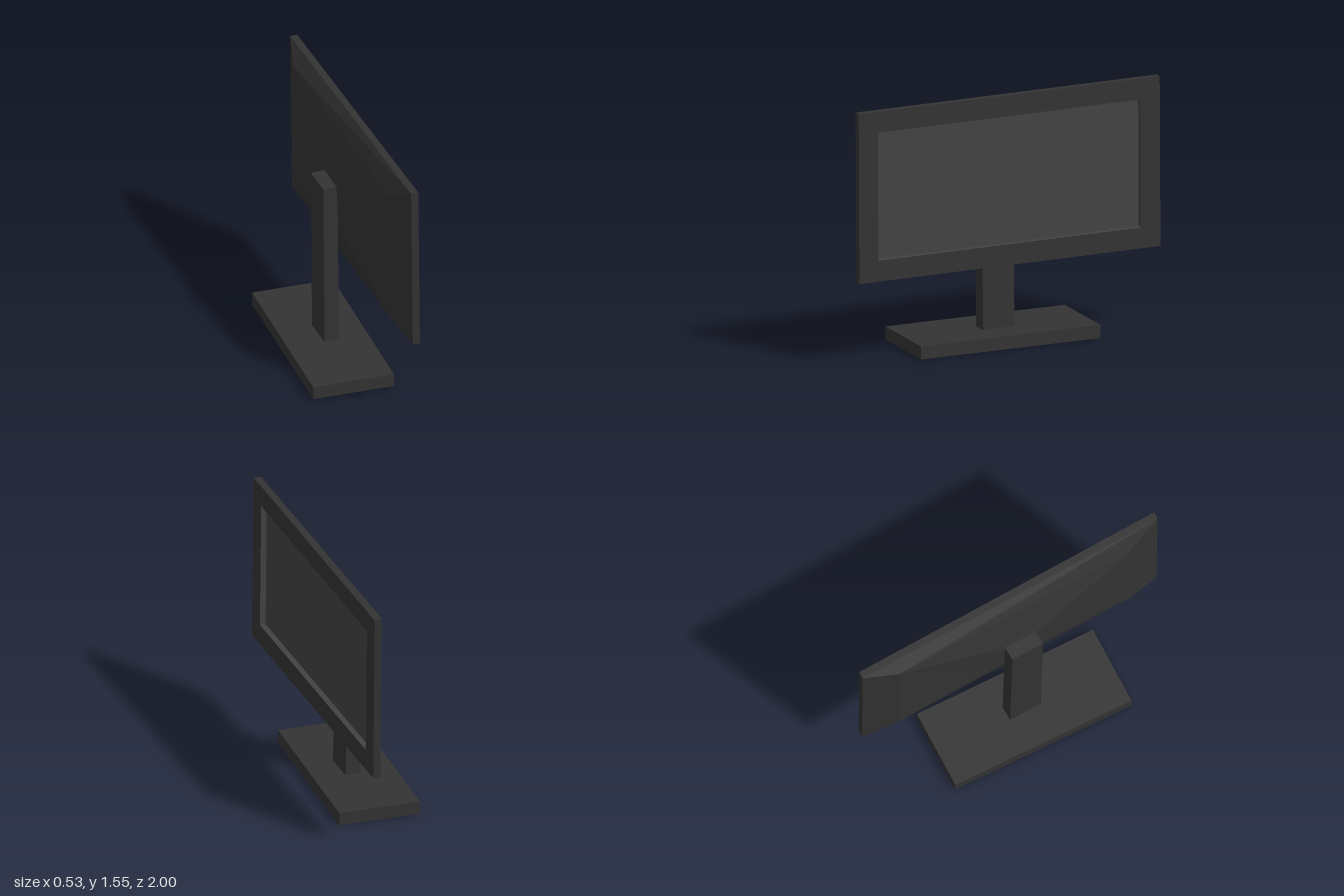
import * as THREE from 'three';

const dark = new THREE.MeshStandardMaterial({ color: 0x333333, flatShading: true });
const glass = new THREE.MeshStandardMaterial({ color: 0x424242, flatShading: true });

// Rectangle facing +x, with a slight yaw, backward lean and roll
function rect({ x, y = 1.0225, hy, hz, yaw = 0.049, lean = 0.01, roll = 0.009 }) {
  return [[-1, 1], [-1, -1], [1, -1], [1, 1]].map(([sy, sz]) => {
    const z = sz * hz;
    return [x + yaw * z - lean * sy * hy, y + sy * hy + roll * z, z];
  });
}

// Skin a row of rectangles, running towards +x, with optional caps
function loft(loops, capBack, capFront) {
  const pos = [];
  const quad = (a, b, c, d) => pos.push(...a, ...b, ...c, ...a, ...c, ...d);
  for (let k = 0; k < loops.length - 1; k++) {
    const a = loops[k], b = loops[k + 1];
    for (let i = 0; i < 4; i++) {
      const j = (i + 1) % 4;
      quad(a[i], a[j], b[j], b[i]);
    }
  }
  if (capBack) quad(...[...loops[0]].reverse());
  if (capFront) quad(...loops[loops.length - 1]);
  const g = new THREE.BufferGeometry();
  g.setAttribute('position', new THREE.Float32BufferAttribute(pos, 3));
  g.computeVertexNormals();
  return g;
}

export function createModel() {
  const model = new THREE.Group();
  const add = (name, geometry, material) => {
    const mesh = new THREE.Mesh(geometry, material);
    mesh.name = name;
    model.add(mesh);
    return mesh;
  };

  // Flat foot
  add('base', new THREE.BoxGeometry(0.5, 0.08, 1.165), dark).position.set(-0.015, 0.04, 0.005);

  // Upright post, set slightly askew
  const post = add('stand', new THREE.BoxGeometry(0.09, 1.065, 0.208), dark);
  post.position.set(-0.003, 0.597, 0.002);
  post.rotation.set(0.008, 0.05, 0.01);

  // Housing: rear mount, tapered back, rim and front bezel
  const opening = rect({ x: 0.207, hy: 0.39, hz: 0.873 });
  add('housing', loft([
    rect({ x: 0.038, y: 0.99, hy: 0.14, hz: 0.12, yaw: 0.03, lean: 0.05 }),
    rect({ x: 0.102, y: 1.025, hy: 0.415, hz: 0.78, yaw: 0.051, roll: -0.018 }),
    rect({ x: 0.163, hy: 0.517, hz: 1 }),
    rect({ x: 0.207, hy: 0.517, hz: 1 }),
    opening,
  ], true, false), dark);

  // Recessed screen with its inner walls
  add('screen', loft([opening, rect({ x: 0.172, hy: 0.39, hz: 0.873 })], false, true), glass);

  return model;
}
